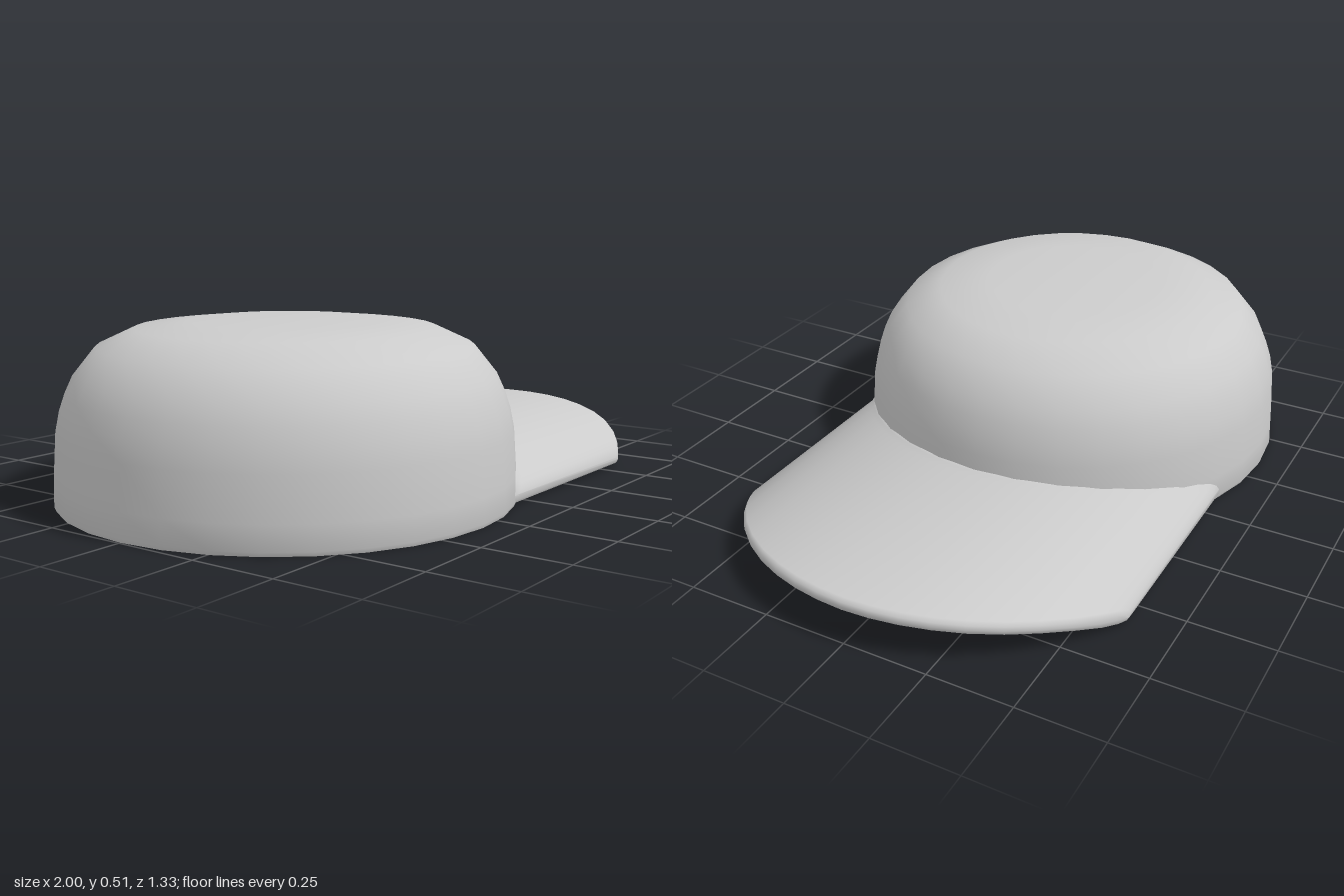
import * as THREE from 'three';
import { toCreasedNormals } from 'three/addons/utils/BufferGeometryUtils.js';

const CROWN_X = -0.335, BRIM_X = 0.335, RADIUS = 0.665;

// Domed crown with a shallow hollow underneath
function createCrown(material) {
  const profile = [
    [0, 0.17], [0.62, 0.17], [0.647, 0], [0.66, 0], [0.665, 0.012],
    [0.662, 0.08], [0.654, 0.2], [0.642, 0.26], [0.625, 0.31], [0.602, 0.36],
    [0.538, 0.44], [0.43, 0.49], [0.275, 0.507], [0, 0.508],
  ].map(([r, y]) => new THREE.Vector2(r, y));
  const geometry = toCreasedNormals(new THREE.LatheGeometry(profile, 32), 0.8);
  const crown = new THREE.Mesh(geometry, material);
  crown.name = 'crown';
  crown.position.x = CROWN_X;
  return crown;
}

// Arched brim: one closed section along x for each step across z
function createBrim(material) {
  // z, top height, bottom height
  const half = [
    [0, 0.14, 0.1], [0.08, 0.14, 0.1], [0.16, 0.138, 0.098], [0.24, 0.134, 0.094],
    [0.32, 0.127, 0.087], [0.4, 0.117, 0.077], [0.47, 0.104, 0.064], [0.53, 0.087, 0.045],
    [0.575, 0.069, 0.023], [0.6, 0.054, 0.011], [0.612, 0.042, 0.009], [0.617, 0.029, 0.017],
  ];
  const mirrored = half.slice(1).reverse().map(([z, t, b]) => [-z, t, b]);
  const columns = [...mirrored, ...half];
  const arc = (r, z) => Math.sqrt(r * r - z * z);

  const positions = [], indices = [];
  for (const [z, top, bottom] of columns) {
    const thick = top - bottom;
    const end = BRIM_X + arc(RADIUS, z);
    const ring = [
      [CROWN_X + arc(0.65, z), top + 0.3 * thick], // small seam against the crown
      [CROWN_X + arc(0.665, z), top + 0.25 * thick],
      [CROWN_X + arc(0.675, z), top],
      [end - 0.015, top],
      [end - 0.003, top - 0.2 * thick],
      [end, top - 0.5 * thick],
      [end - 0.003, bottom + 0.2 * thick],
      [end - 0.015, bottom],
      [CROWN_X + arc(0.65, z), bottom],
    ];
    for (const [x, y] of ring) positions.push(x, y, z);
  }

  const n = 9, last = columns.length - 1;
  for (let i = 0; i < last; i++) {
    for (let j = 0; j < n; j++) {
      const k = (j + 1) % n;
      const a = i * n + j, b = a + n, c = i * n + k, d = c + n;
      indices.push(a, b, c, b, d, c);
    }
  }
  // Close both side edges
  for (let j = 1; j < n - 1; j++) {
    indices.push(0, j, j + 1);
    indices.push(last * n, last * n + j + 1, last * n + j);
  }

  const geometry = new THREE.BufferGeometry();
  geometry.setAttribute('position', new THREE.Float32BufferAttribute(positions, 3));
  geometry.setIndex(indices);
  const brim = new THREE.Mesh(toCreasedNormals(geometry, 0.9), material);
  brim.name = 'brim';
  return brim;
}

export function createModel() {
  const material = new THREE.MeshStandardMaterial({ color: 0xcccccc });
  const cap = new THREE.Group();
  cap.name = 'cap';
  cap.add(createCrown(material), createBrim(material));
  return cap;
}
